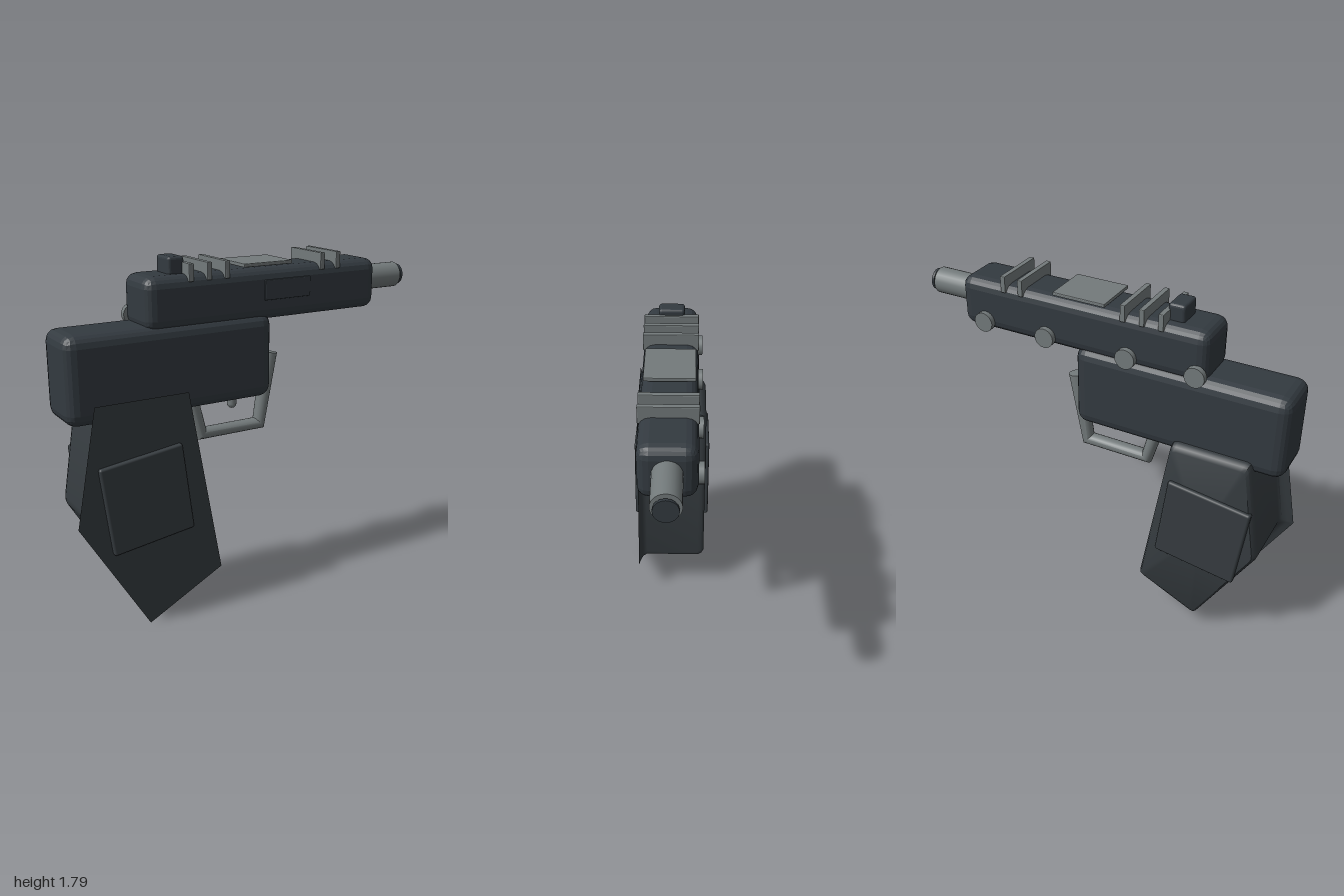
import * as THREE from 'three';
import { toCreasedNormals } from 'three/addons/utils/BufferGeometryUtils.js';
import { RoundedBoxGeometry } from 'three/addons/geometries/RoundedBoxGeometry.js';

const mat = (name, color) => Object.assign(new THREE.MeshStandardMaterial({ color }), { name });

// Skin a list of equal-length rings and close both ends
function loft(rings, crease) {
  const pos = [];
  const tri = (...p) => p.forEach((v) => pos.push(v.x, v.y, v.z));
  const n = rings[0].length;
  const centre = (ring) => ring.reduce((s, p) => s.add(p), new THREE.Vector3()).divideScalar(n);
  const first = rings[0], last = rings[rings.length - 1];
  const c0 = centre(first), c1 = centre(last);
  for (let i = 0; i < n; i++) {
    const j = (i + 1) % n;
    for (let k = 0; k < rings.length - 1; k++) {
      const a = rings[k], b = rings[k + 1];
      tri(a[i], b[i], a[j]);
      tri(a[j], b[i], b[j]);
    }
    tri(c0, first[i], first[j]);
    tri(c1, last[j], last[i]);
  }
  const g = new THREE.BufferGeometry();
  g.setAttribute('position', new THREE.Float32BufferAttribute(pos, 3));
  return toCreasedNormals(g, crease);
}

// Box with faceted, bevelled edges
function facetedBox(w, h, d, r, segments = 2) {
  const g = new RoundedBoxGeometry(w, h, d, segments, r);
  g.computeVertexNormals();
  return g;
}

// Grip cross-section: blend of flared lip and body outline, with softened corners
const lip = [[-0.65, 0], [-0.24, 0.21], [-0.41, 1.17], [-0.89, 1.17], [-1, 0.59]];
const core = [[-0.63, 0.085], [-0.3, 0.235], [-0.45, 1.13], [-0.85, 1.13], [-0.935, 0.6]];
function gripRing(z, blend, scale, round) {
  const pts = lip.map((p, i) => new THREE.Vector3(
    -0.62 + (THREE.MathUtils.lerp(p[0], core[i][0], blend) + 0.62) * scale,
    0.6 + (THREE.MathUtils.lerp(p[1], core[i][1], blend) - 0.6) * scale, z));
  return pts.flatMap((p, i) => {
    const toward = (q) => q.clone().sub(p).setLength(round).add(p);
    const a = toward(pts[(i + 4) % 5]), b = toward(pts[(i + 1) % 5]);
    return [a, a.clone().add(b).multiplyScalar(0.25).addScaledVector(p, 0.5), b];
  });
}

// Guard cross-section between an outer and an inner point
function guardRing([ox, oy, ix, iy]) {
  const c = new THREE.Vector3((ox + ix) / 2, (oy + iy) / 2, 0);
  const h = new THREE.Vector3(ox, oy, 0).sub(c);
  return Array.from({ length: 16 }, (_, i) => {
    const t = (i / 16) * Math.PI * 2;
    const p = c.clone().addScaledVector(h, Math.cos(t));
    p.z = 0.038 * Math.sin(t);
    return p;
  });
}

export function createModel() {
  const root = new THREE.Group();
  root.name = 'sidearm';
  const body = mat('dark blue grey', 0x333a40);
  const gripMat = mat('dark grey', 0x363c40);
  const metal = mat('metal grey', 0x737a7b);
  const add = (name, geometry, material, x = 0, y = 0, z = 0) => {
    const m = new THREE.Mesh(geometry, material);
    m.name = name;
    m.position.set(x, y, z);
    root.add(m);
    return m;
  };

  // Receiver and slide
  add('receiver', facetedBox(1.1, 0.43, 0.286, 0.06), body, -0.45, 1.275);
  add('slide', facetedBox(1.34, 0.26, 0.264, 0.055), body, 0.08, 1.585);
  add('slidePanel', facetedBox(0.27, 0.1, 0.018, 0.004, 1), body, 0.185, 1.607, 0.131);
  add('rearSight', facetedBox(0.085, 0.1, 0.13, 0.015), body, -0.398, 1.745);

  // Grip with flared lip on its left side and rounded right side
  add('grip', loft([
    gripRing(0.19, 0, 1, 0.002), gripRing(0.18, 0.45, 1, 0.006),
    gripRing(0.166, 0.85, 1, 0.015), gripRing(0.145, 1, 1, 0.025),
    gripRing(-0.155, 1, 1, 0.025), gripRing(-0.178, 1, 0.98, 0.025),
    gripRing(-0.19, 1, 0.94, 0.025),
  ], 0.7), gripMat);
  for (const side of [1, -1]) {
    const panel = add('gripPanel', new RoundedBoxGeometry(0.435, 0.455, 0.04, 2, 0.012), gripMat, -0.645, 0.673, side * 0.191);
    panel.rotation.z = 0.127;
  }

  // Trigger guard and trigger
  add('triggerGuard', loft([
    [-0.35, 1.12, -0.275, 1.12], [-0.27, 0.85, -0.223, 0.91],
    [0.125, 0.85, 0.073, 0.91], [0.207, 1.25, 0.122, 1.265],
  ].map(guardRing), 0.6), metal);
  add('trigger', new THREE.CapsuleGeometry(0.025, 0.1, 3, 12), metal, -0.063, 1.062);

  // Barrel and muzzle disc
  const rodX = (r, len) => new THREE.CylinderGeometry(r, r, len, 24).rotateZ(Math.PI / 2);
  add('barrel', rodX(0.067, 0.27), metal, 0.835, 1.597);
  add('muzzle', rodX(0.055, 0.014), body, 0.99, 1.597);

  // Cooling fins and top plate
  for (const x of [-0.355, -0.258, -0.16, 0.395, 0.492]) {
    add('fin', facetedBox(0.027, 0.085, 0.27, 0.004, 1), metal, x, 1.725);
  }
  add('topPlate', facetedBox(0.28, 0.018, 0.24, 0.004, 1), metal, 0.08, 1.733);

  // Round studs on the right side
  for (const x of [-0.54, -0.185, 0.255, 0.608]) {
    add('stud', new THREE.CylinderGeometry(0.051, 0.051, 0.03, 20).rotateX(Math.PI / 2), metal, x, 1.505, -0.144);
  }
  return root;
}
